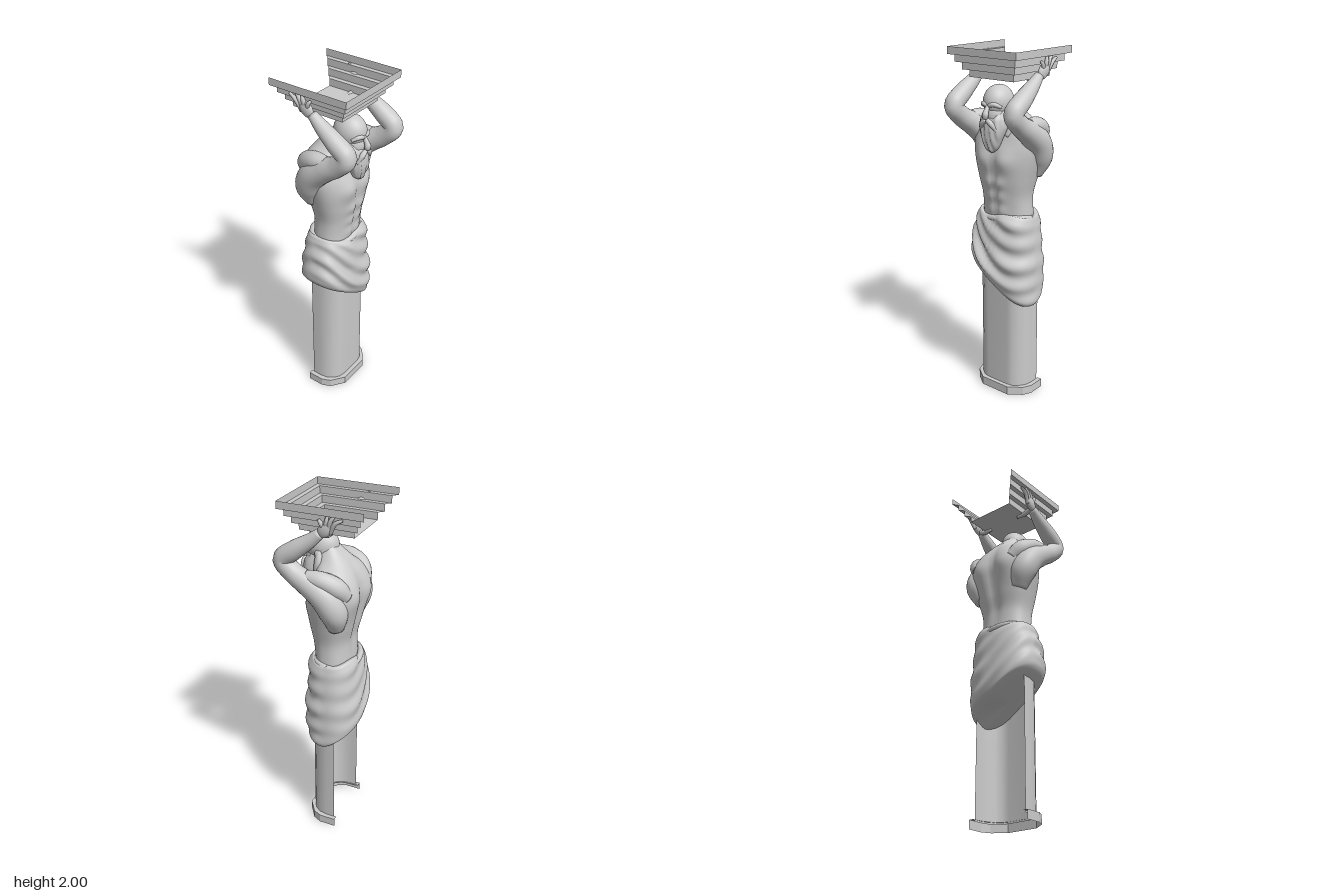
import * as THREE from 'three';

const stone = new THREE.MeshStandardMaterial({ color: 0xcccccc, side: THREE.DoubleSide });
const V = (x, y, z) => new THREE.Vector3(x, y, z);
const bump = (d, w) => Math.exp(-(d * d) / (w * w));
const lerp = THREE.MathUtils.lerp;

// Surface through a list of point rows; rows may close on themselves
function skin(name, rows, closed = true, flat = false) {
  const n = rows[0].length, idx = [];
  for (let j = 0; j < rows.length - 1; j++)
    for (let i = 0; i < (closed ? n : n - 1); i++) {
      const a = j * n + i, b = j * n + (i + 1) % n;
      idx.push(a, a + n, b, b, a + n, b + n);
    }
  let geo = new THREE.BufferGeometry().setFromPoints(rows.flat());
  geo.setIndex(idx);
  if (flat) geo = geo.toNonIndexed();
  geo.computeVertexNormals();
  const mesh = new THREE.Mesh(geo, stone);
  mesh.name = name;
  return mesh;
}

// Rounded cross-sections: each key is [y, halfWidth, frontZ, backZ]
function loft(name, keys, { seg = 48, steps = 40, power = 0.85, warp } = {}) {
  const a = new THREE.CatmullRomCurve3(keys.map(k => V(k[0], k[1], 0)));
  const b = new THREE.CatmullRomCurve3(keys.map(k => V(k[2], k[3], 0)));
  const pw = v => Math.sign(v) * Math.abs(v) ** power;
  const rows = [];
  for (let j = 0; j <= steps; j++) {
    const p = a.getPoint(j / steps), q = b.getPoint(j / steps), row = [];
    for (let i = 0; i < seg; i++) {
      const t = i / seg * Math.PI * 2, s = pw(Math.sin(t));
      const v = V(pw(Math.cos(t)) * p.y, p.x, (q.x + q.y) / 2 + s * (q.x - q.y) / 2);
      if (warp) warp(v, s, j / steps);
      row.push(v);
    }
    rows.push(row);
  }
  const mid = r => r.reduce((c, v) => c.add(v), V(0, 0, 0)).divideScalar(seg);
  const lo = mid(rows[0]), hi = mid(rows[steps]);
  return skin(name, [rows[0].map(() => lo), ...rows, rows[0].map(() => hi)]);
}

// Limb of changing thickness: each key is [x, y, z, radius]
function limb(name, keys, side = 1, seg = 16, steps = 28) {
  const path = new THREE.CatmullRomCurve3(keys.map(k => V(k[0] * side, k[1], k[2])));
  const rad = new THREE.CatmullRomCurve3(keys.map((k, i) => V(i, k[3], 0)));
  const f = path.computeFrenetFrames(steps);
  const rows = [];
  for (let j = 0; j <= steps; j++) {
    const t = j / steps, c = path.getPointAt(t), u = path.getUtoTmapping(t), r = rad.getPoint(u).y;
    rows.push(Array.from({ length: seg }, (_, i) => {
      const w = i / seg * Math.PI * 2;
      return c.clone().addScaledVector(f.normals[j], r * Math.cos(w)).addScaledVector(f.binormals[j], -r * Math.sin(w));
    }));
  }
  const end = t => rows[0].map(() => path.getPoint(t));
  return skin(name, [end(0), ...rows, end(1)]);
}

function ball(name, x, y, z, sx, sy, sz, rx = 0) {
  const m = new THREE.Mesh(new THREE.SphereGeometry(1, 32, 20), stone);
  m.name = name;
  m.position.set(x, y, z);
  m.scale.set(sx, sy, sz);
  m.rotation.x = rx;
  return m;
}

// Half section, mirrored into a U that is open at the back
const uSection = (half, y) => [...half.map(p => V(p[0], y, p[1])), ...[...half].reverse().map(p => V(-p[0], y, p[1]))];

export function createModel() {
  const g = new THREE.Group();
  g.name = 'figureColumn';

  // Hollow shaft and plinth
  const shaft = [[.168, -.07], [.168, -.02], [.16, .025], [.137, .06], [.105, .083], [.07, .09]];
  const foot = [[.193, -.085], [.193, .01], [.17, .06], [.095, .115]];
  const footIn = [[.165, -.085], [.165, -.02], [.137, .055], [.07, .088]];
  g.add(skin('shaft', [.04, .5, .95].map(y => uSection(shaft, y)), false));
  g.add(skin('plinth', [uSection(foot, 0), uSection(foot, .05), uSection(footIn, .05)], false, true));

  // Stepped capital with mitred open back, and its floor
  const steps = [[.15, 1.84], [.15, 1.88], [.178, 1.88], [.178, 1.92], [.205, 1.92], [.205, 1.96], [.232, 1.96], [.232, 2]];
  const capRow = ([w, y]) => [V(w, y, -.025 - w), V(w, y, w - .02), V(-w, y, w - .02), V(-w, y, -.025 - w)];
  g.add(skin('capital', steps.map(capRow), false, true));
  g.add(skin('capitalFloor', [[V(-.15, 1.84, .13), V(.15, 1.84, .13)], [V(-.15, 1.84, -.175), V(.15, 1.84, -.175)]], false, true));

  // Muscled torso, leaning forward into the neck
  g.add(loft('torso', [
    [1.0, .155, .095, -.12], [1.1, .15, .09, -.115], [1.2, .15, .1, -.113], [1.3, .173, .118, -.135],
    [1.4, .2, .122, -.155], [1.47, .215, .115, -.165], [1.54, .215, .095, -.155], [1.6, .17, .08, -.13],
    [1.66, .1, .08, -.085], [1.71, .065, .09, -.035], [1.75, .05, .1, .0],
  ], {
    steps: 64, seg: 64, warp: (v, s) => {
      const x = Math.abs(v.x), y = v.y;
      if (s > 0) {
        const chest = .022 * bump(x - .075, .06) * bump(y - 1.41, .06);
        const belly = .012 * bump(x - .035, .035) * (bump(y - 1.28, .03) + bump(y - 1.2, .03) + bump(y - 1.12, .035));
        v.z += s * (chest + belly - .008 * bump(x, .014) * bump(y - 1.3, .18));
      } else {
        const blade = .016 * bump(x - .1, .05) * bump(y - 1.48, .09);
        v.z += s * (blade - .024 * bump(x, .03) * bump(y - 1.4, .2));
      }
    },
  }));

  // Draped cloth with slanting hem and sagging folds; height runs 0 at hem to 1 at waist
  g.add(loft('loincloth', [
    [-.02, .15, .08, -.07], [0, .185, .115, -.125], [.06, .208, .135, -.17], [.25, .212, .148, -.178],
    [.5, .205, .132, -.168], [.75, .192, .128, -.162], [.93, .178, .118, -.152], [1, .165, .1, -.135], [.98, .14, .08, -.11],
  ], {
    steps: 70, seg: 72, power: .8, warp: (v, s) => {
      const k = v.y, side = v.x / .21;
      const hem = .68 - .135 * side + .07 * Math.max(0, -s) * Math.max(0, side);
      v.y = lerp(hem, 1.095 + .012 * Math.sin(side * 5), k);
      const swag = v.y + .16 * side - .1 * side * side;
      const amp = (s > 0 ? .011 : .005) * Math.min(1, Math.max(0, k * 5)) * Math.min(1, (1.02 - k) * 6);
      const out = amp * (Math.sin(swag * 52) + .5 * Math.sin(swag * 29 + side * 2));
      v.x *= 1 + out * 2.5;
      v.z += s * out;
      v.x -= .012 * (1 - k);
    },
  }));
  g.add(limb('waistRoll', Array.from({ length: 13 }, (_, i) => {
    const t = i / 12 * Math.PI * 2;
    return [.155 * Math.cos(t), 1.075 + .012 * Math.sin(t * 2), -.02 + .118 * Math.sin(t), .018];
  }), 1, 10, 60));

  // Bowed bald head, face and beard
  const head = new THREE.Group();
  head.name = 'head';
  head.add(ball('skull', 0, 1.72, .07, .077, .09, .092, .15));
  head.add(ball('jaw', 0, 1.655, .095, .064, .075, .065));
  head.add(limb('nose', [[0, 1.71, .155, .01], [0, 1.68, .172, .014], [0, 1.655, .18, .018], [0, 1.645, .165, .01]], 1, 10, 10));
  head.add(loft('beard', [
    [1.455, .012, .14, .115], [1.475, .036, .152, .1], [1.53, .062, .168, .08], [1.59, .082, .168, .06],
    [1.635, .08, .16, .055], [1.68, .07, .125, .05],
  ], { warp: (v, s) => { if (s > 0) v.z += .005 * s * Math.sin(v.x * 190 + v.y * 30); } }));
  for (const s of [1, -1]) {
    head.add(limb('brow', [[.006, 1.708, .158, .01], [.035, 1.716, .152, .013], [.064, 1.7, .122, .009]], s, 10, 10));
    head.add(limb('moustache', [[.004, 1.635, .17, .012], [.03, 1.615, .168, .015], [.055, 1.575, .152, .008]], s, 10, 12));
    head.add(limb('hair', [[.07, 1.71, .06, .012], [.078, 1.65, .055, .026], [.08, 1.59, .06, .026], [.068, 1.54, .085, .014]], s, 12, 14));
    head.add(ball('ear', .078 * s, 1.69, .065, .01, .024, .016));
  }
  g.add(head);

  // Raised arms, elbows forward, hands pressed against the capital
  for (const s of [1, -1]) {
    const arm = new THREE.Group();
    arm.name = s > 0 ? 'leftArm' : 'rightArm';
    arm.add(limb('armLimb', [
      [.135, 1.32, -.07, .045], [.165, 1.42, -.07, .075], [.186, 1.51, -.025, .076], [.198, 1.575, .06, .064],
      [.203, 1.625, .14, .055], [.206, 1.69, .198, .052], [.206, 1.75, .13, .05], [.202, 1.81, .045, .038], [.2, 1.86, -.015, .026],
    ], s, 24, 56));
    arm.add(limb('shoulderMuscle', [[.12, 1.5, -.12, .04], [.16, 1.56, -.08, .055], [.19, 1.6, -.01, .05], [.2, 1.61, .07, .04]], s));
    arm.add(ball('palm', .208 * s, 1.885, -.045, .02, .05, .036, -.7));
    const tips = [[1.935, -.012], [1.957, -.062], [1.962, -.1], [1.945, -.14]];
    tips.forEach(([y, z], i) => arm.add(limb('finger', [
      [.207, 1.885 - .006 * i, -.035 - .012 * i, .012], [.218, lerp(1.89, y, .6), lerp(-.045, z, .6), .0115], [.216, y, z, .007],
    ], s, 8, 8)));
    arm.add(limb('thumb', [[.2, 1.86, -.03, .016], [.16, 1.838, -.035, .014], [.105, 1.832, -.04, .008]], s, 10, 10));
    g.add(arm);
  }
  return g;
}
